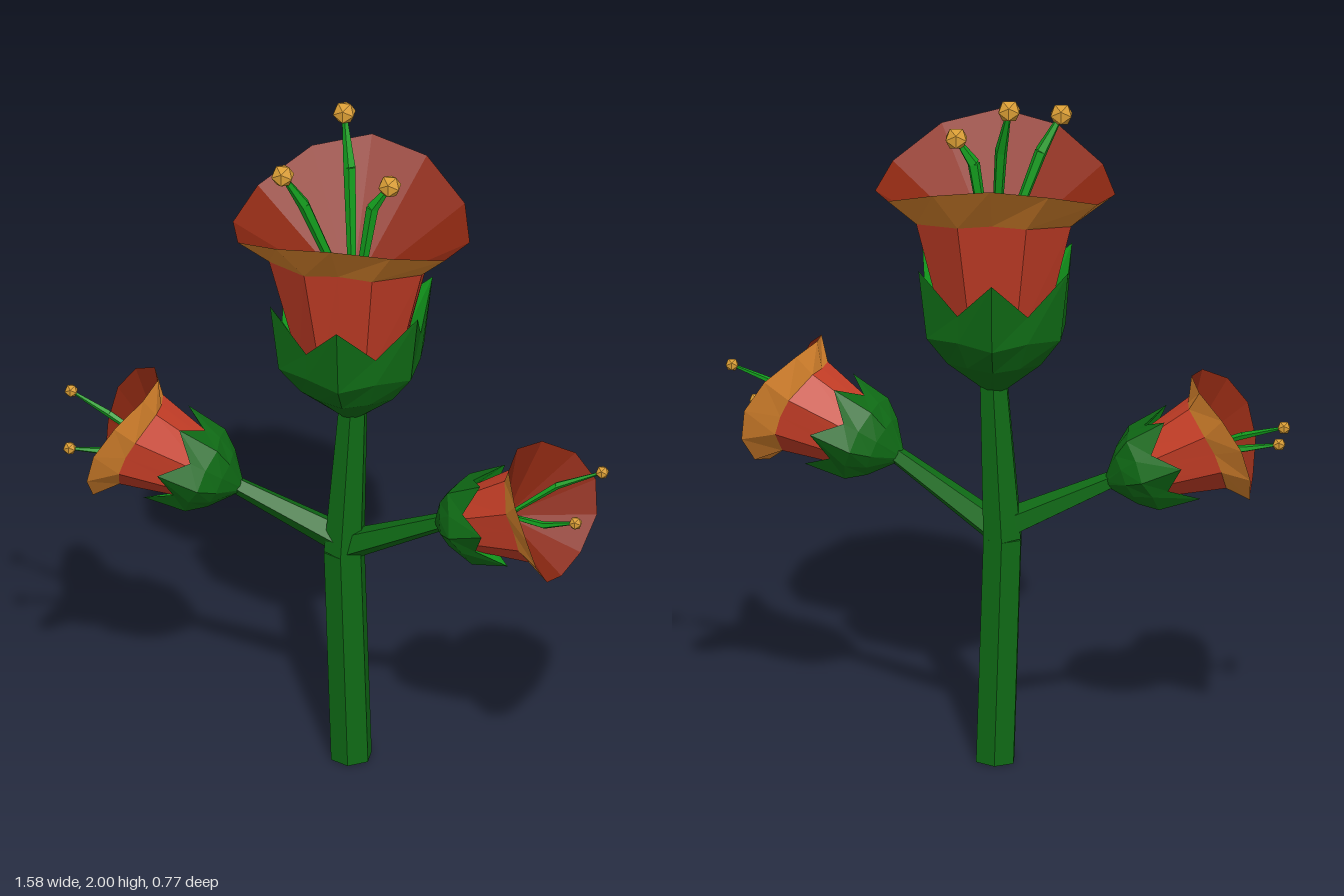
import * as THREE from 'three';

const mat = (name, color) => {
  const m = new THREE.MeshStandardMaterial({ color });
  m.name = name;
  return m;
};

export function createModel() {
  const root = new THREE.Group();
  root.name = 'flowerPlant';
  const leafGreen = mat('leafGreen', 0x0f6a15);
  const brightGreen = mat('brightGreen', 0x129a1c);
  const petalRed = mat('petalRed', 0xc43d26);
  const throatRed = mat('throatRed', 0x8a2711);
  const rimOrange = mat('rimOrange', 0xd6822c);
  const pollenGold = mat('pollenGold', 0xd89c34);

  const add = (parent, name, geo, material) => {
    const g = geo.index ? geo.toNonIndexed() : geo;
    g.computeVertexNormals(); // faceted
    const m = new THREE.Mesh(g, material);
    m.name = name;
    parent.add(m);
    return m;
  };

  // Skin between 12-point rings; bottom-to-top faces outward, top-to-bottom inward
  const loft = (rings) => {
    const pos = [];
    for (let r = 0; r < rings.length - 1; r++) {
      for (let i = 0; i < 12; i++) {
        const j = (i + 1) % 12;
        const [a, b, c, d] = [rings[r][i], rings[r][j], rings[r + 1][j], rings[r + 1][i]];
        pos.push(...a, ...d, ...b, ...b, ...d, ...c);
      }
    }
    const g = new THREE.BufferGeometry();
    g.setAttribute('position', new THREE.Float32BufferAttribute(pos, 3));
    return g;
  };
  const ring = (fn) => Array.from({ length: 12 }, (_, k) => {
    const [deg, r, y] = fn(k);
    const t = THREE.MathUtils.degToRad(deg);
    return [r * Math.cos(t), y, r * Math.sin(t)];
  });

  // Petal ring: four flat sides with cut corners, lifted at front and back
  const petalRing = (r, y, lift, corner, axisScale) => ring((k) => {
    const q = Math.floor(k / 3) * 90;
    const deg = q + [0, corner, 90 - corner][k % 3];
    const s = Math.sin(THREE.MathUtils.degToRad(deg));
    return [deg, k % 3 ? r : r * axisScale, y + lift * s * s];
  });
  // Calyx ring: odd points are tooth tips
  const calyxRing = (r, y, tipR = r, tipY = y) =>
    ring((k) => (k % 2 ? [k * 30, tipR, tipY] : [k * 30, r, y]));

  const flower = (name, base, axis, scale) => {
    const f = new THREE.Group();
    f.name = name;
    // calyx cup with six teeth
    const teeth = calyxRing(0.195, 0.27, 0.24, 0.385);
    add(f, 'calyx', loft([
      calyxRing(0.03, -0.005), calyxRing(0.145, 0.1, 0.15, 0.095),
      calyxRing(0.195, 0.19, 0.215, 0.18), teeth]), leafGreen);
    add(f, 'calyxInside', loft([teeth, calyxRing(0.15, 0.2)]), brightGreen);
    // petal tube, flared rim and inner cone
    const throat = petalRing(0.235, 0.505, 0.05, 24, 0.92);
    const rim = petalRing(0.333, 0.575, 0.125, 29, 1);
    add(f, 'petalTube', loft([petalRing(0.15, 0.18, 0, 24, 0.92), throat]), petalRed);
    add(f, 'petalRim', loft([throat, rim]), rimOrange);
    add(f, 'petalInside', loft([rim, ring(() => [0, 0, 0.38])]), throatRed);

    const a = new THREE.Vector3(...axis).normalize();
    f.position.set(...base);
    f.scale.setScalar(scale);
    f.rotation.set(0, Math.atan2(-a.z, a.x), -Math.acos(a.y), 'YZX');
    if (a.y > 0.999) f.rotation.set(0, 0, 0);
    root.add(f);
  };

  // Tapered faceted rod between two points
  const rod = (name, from, to, r0, r1, sides, material) => {
    const p = new THREE.Vector3(...from), q = new THREE.Vector3(...to);
    const d = q.clone().sub(p);
    const m = add(root, name, new THREE.CylinderGeometry(r1, r0, d.length(), sides), material);
    m.position.copy(p).add(q).multiplyScalar(0.5);
    m.quaternion.setFromUnitVectors(new THREE.Vector3(0, 1, 0), d.normalize());
  };

  // Stem and side branches
  rod('lowerStem', [0.03, 0, -0.05], [0.01, 0.66, -0.05], 0.06, 0.06, 6, leafGreen);
  rod('upperStem', [0.01, 0.66, -0.05], [0.035, 1.13, -0.05], 0.06, 0.042, 6, leafGreen);
  rod('leftBranch', [0.01, 0.67, -0.05], [0.32, 0.855, 0.08], 0.045, 0.025, 5, leafGreen);
  rod('rightBranch', [0.01, 0.69, -0.05], [-0.3, 0.835, -0.055], 0.045, 0.025, 5, leafGreen);

  flower('mainFlower', [0.03, 1.1, -0.05], [0, 1, 0], 1);
  flower('leftFlower', [0.3, 0.845, 0.075], [0.37, 0.15, 0.13], 0.59);
  flower('rightFlower', [-0.285, 0.826, -0.055], [-0.38, 0.17, 0], 0.59);

  // Stamens: start, knee, tip, size
  const stamens = [
    [[0.01, 1.5, -0.04], [-0.095, 1.78, 0], [-0.15, 1.88, 0.025], 1],
    [[0.03, 1.5, -0.07], [0.01, 1.83, -0.14], [-0.015, 1.97, -0.195], 1],
    [[0.05, 1.5, -0.05], [0.09, 1.76, -0.05], [0.138, 1.832, -0.05], 1],
    [[0.52, 0.94, 0.14], [0.64, 1.03, 0.135], [0.768, 1.085, 0.135], 0.58],
    [[0.52, 0.92, 0.14], [0.61, 0.92, 0.17], [0.705, 0.956, 0.205], 0.58],
    [[-0.5, 0.92, -0.055], [-0.66, 0.99, -0.11], [-0.775, 1.03, -0.15], 0.58],
    [[-0.5, 0.92, -0.055], [-0.66, 0.92, -0.025], [-0.755, 0.928, -0.01], 0.58],
  ];
  for (const [start, knee, tip, s] of stamens) {
    rod('lowerFilament', start, knee, 0.012 * s, 0.018 * s, 5, brightGreen);
    rod('upperFilament', knee, tip, 0.018 * s, 0.007 * s, 5, brightGreen);
    add(root, 'anther', new THREE.IcosahedronGeometry(0.034 * s, 0), pollenGold).position.set(...tip);
  }
  return root;
}
